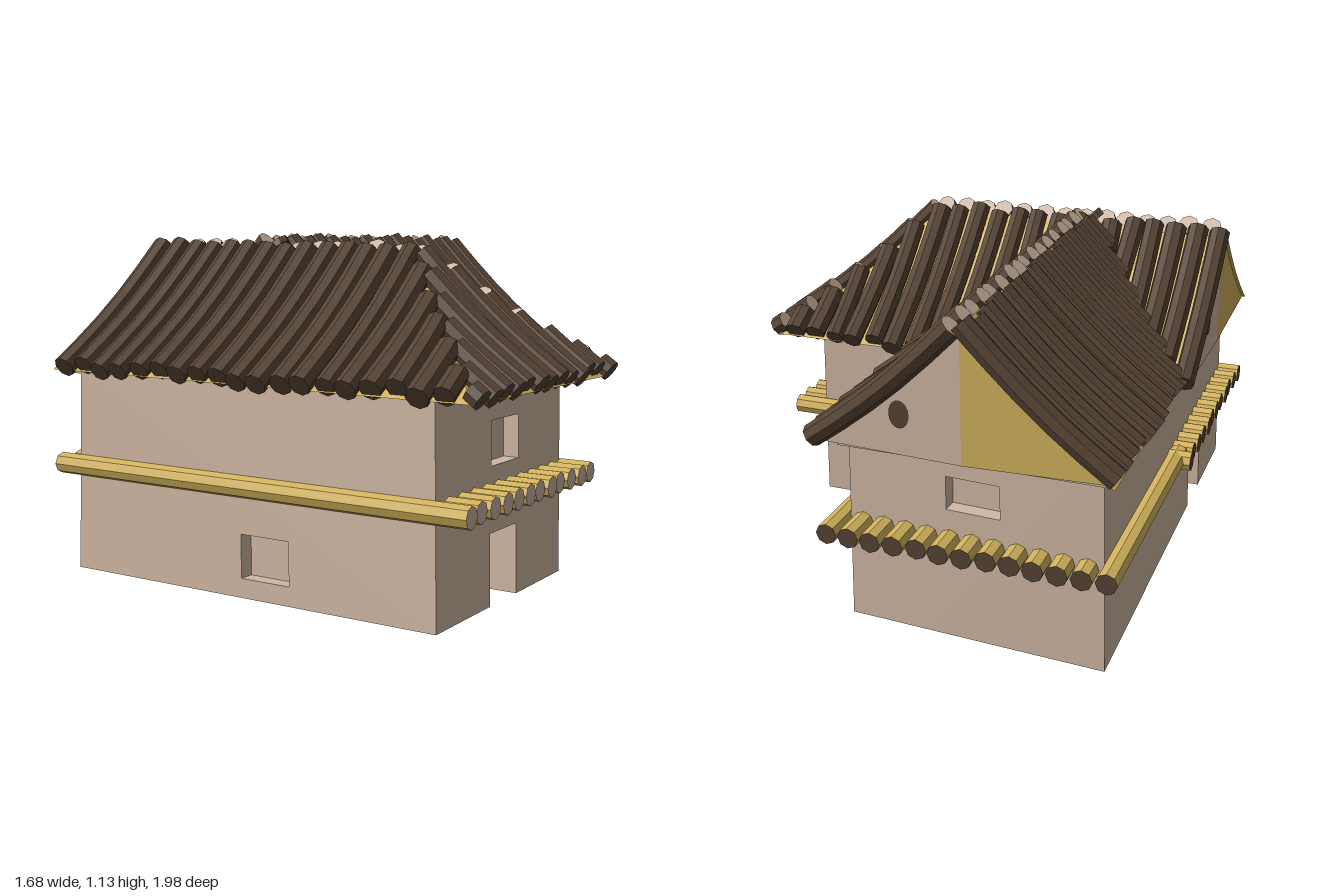
import * as THREE from 'three';

const mat = (name, color, side = THREE.FrontSide) => {
  const m = new THREE.MeshStandardMaterial({ color, side });
  m.name = name;
  return m;
};

export function createModel() {
  const plaster = mat('plaster', 0xd0b7a3, THREE.DoubleSide);
  const darkWood = mat('dark roof wood', 0x564334);
  const straw = mat('yellow wood', 0xd2b25c, THREE.DoubleSide);
  const endGrain = mat('end grain', 0xccb4a1);

  const house = new THREE.Group();
  house.name = 'house';
  house.rotation.set(-0.034, -0.157, 0); // slight pitch over a yaw
  const section = (name) => {
    const g = new THREE.Group();
    g.name = name;
    house.add(g);
    return g;
  };
  const addMesh = (parent, name, geo, material) => {
    const m = new THREE.Mesh(geo, material);
    m.name = name;
    parent.add(m);
    return m;
  };
  let seed = 7;
  const jitter = (amount) => {
    seed = (seed * 16807) % 2147483647;
    return (seed / 2147483647 - 0.5) * 2 * amount;
  };

  // ---- walls: single sheets with recessed openings, sides leaning inward ----
  const BASE = 0.03, TOP = 0.69;
  const batter = (geo) => {
    const p = geo.attributes.position;
    for (let i = 0; i < p.count; i++) {
      const lean = Math.max(-1, Math.min(1, (p.getX(i) + 0.2) / 0.425));
      p.setX(i, p.getX(i) - 0.025 * (p.getY(i) - BASE) * lean);
    }
    geo.computeVertexNormals();
    return geo;
  };
  const walls = section('walls');
  // openings are [start, width, bottom, top]; one that reaches the base is a door
  const wall = (name, x1, z1, x2, z2, openings) => {
    const len = Math.hypot(x2 - x1, z2 - z1), angle = Math.atan2(z1 - z2, x2 - x1);
    const place = (geo) => batter(geo.rotateY(angle).translate(x1, 0, z1));
    const s = new THREE.Shape();
    s.moveTo(0, BASE);
    for (const [u, w, b, t] of openings) {
      if (b <= BASE) {
        s.lineTo(u, BASE); s.lineTo(u, t); s.lineTo(u + w, t); s.lineTo(u + w, BASE);
      } else {
        const h = new THREE.Path();
        h.moveTo(u, b); h.lineTo(u, t); h.lineTo(u + w, t); h.lineTo(u + w, b); h.closePath();
        s.holes.push(h);
      }
    }
    s.lineTo(len, BASE); s.lineTo(len, TOP); s.lineTo(0, TOP); s.closePath();
    addMesh(walls, name, place(new THREE.ShapeGeometry(s)), plaster);
    for (const [u, w, b, t] of openings) {
      // box without its front face, and without a sill for doors
      const door = b <= BASE, depth = door ? 0.09 : 0.05;
      const box = new THREE.BoxGeometry(w, t - b, depth);
      const faces = Array.from(box.index.array);
      box.setIndex([...faces.slice(0, door ? 18 : 24), ...faces.slice(30)]);
      box.clearGroups();
      box.translate(u + w / 2, (b + t) / 2, -depth / 2);
      addMesh(walls, door ? 'doorRecess' : 'windowRecess', place(box), plaster);
    }
  };
  const L = -0.625, R = 0.702, M = 0.222, F = 0.835, BR = -0.76, BL = -0.803;
  wall('frontWall', L, F, R, F, [[0.66, 0.175, 0.09, 0.225]]);
  wall('rightWall', R, F, R, 0, [[0.33, 0.18, BASE, 0.25], [0.34, 0.185, 0.45, 0.585]]);
  wall('wingBackWall', R, 0, M, 0, []);
  wall('rearRightWall', M, 0, M, BR, [[0.32, 0.19, 0.11, 0.255]]);
  wall('backWall', M, BR, L, BL, [[0.335, 0.18, 0.47, 0.58]]);
  wall('leftWall', L, BL, L, F, [[1.115, 0.18, BASE, 0.25]]);

  // ---- floor joists poking through the walls ----
  const joists = section('joists');
  const joist = (alongX, from, to, at) => {
    const g = new THREE.CylinderGeometry(0.034, 0.034, to - from, 8).toNonIndexed();
    if (alongX) g.rotateZ(-Math.PI / 2).translate((from + to) / 2, 0.37, at);
    else g.rotateX(Math.PI / 2).translate(at, 0.37, (from + to) / 2);
    g.computeVertexNormals();
    addMesh(joists, 'joist', g, [straw, endGrain, darkWood]);
  };
  for (let i = 0; i < 12; i++) joist(true, -0.69 + jitter(0.006), 0.8 + jitter(0.006), 0.835 - i * 0.0765);
  for (let i = 0; i < 13; i++) {
    const outer = i === 0 || i === 12;
    joist(false, -0.875 + jitter(0.008), outer ? 0.04 : 0.75, -0.64 + i * 0.0735);
  }

  // ---- roof: slopes fall a distance d away from two crossing ridges ----
  const RX = -0.2, RZ = 0.385, HIP = 0.37, D = 0.485, LEFT = -0.695, BACK = -0.885;
  const FRONT_TOP = 1.085, REAR_TOP = 1.11, HIP_RUN = 0.93, REAR_RUN = 0.95;
  const height = (d, top) => {
    const s = d / D;
    return top - (top - 0.7) * s - 0.022 * Math.sin(Math.PI * Math.max(0, s));
  };
  // out: downhill direction, run: horizontal stretch, edge: first log from the gable
  const slopes = [
    { name: 'frontSlope', out: [0, 1], ridge: RZ, run: 1, top: FRONT_TOP, edge: 0.06,
      lo: () => LEFT, hi: (d) => HIP + HIP_RUN * d },
    { name: 'hipSlope', out: [1, 0], ridge: HIP, run: HIP_RUN, top: FRONT_TOP, edge: 0.03,
      lo: (d) => RZ - d, hi: (d) => RZ + d },
    { name: 'wingBackSlope', out: [0, -1], ridge: RZ, run: 1, top: FRONT_TOP, edge: 0.03,
      lo: (d) => RX + REAR_RUN * d, hi: (d) => HIP + HIP_RUN * d },
    { name: 'innerLeftSlope', out: [0, -1], ridge: RZ, run: 1, top: FRONT_TOP, edge: 0.022,
      lo: () => LEFT, hi: (d) => RX - REAR_RUN * d },
    { name: 'rearRightSlope', out: [1, 0], ridge: RX, run: REAR_RUN, top: REAR_TOP, edge: 0.02,
      lo: () => BACK, hi: (d) => RZ - d },
    { name: 'rearLeftSlope', out: [-1, 0], ridge: RX, run: REAR_RUN, top: REAR_TOP, edge: 0.03,
      lo: () => BACK, hi: (d) => RZ - d },
  ];
  const up = new THREE.Vector3(0, 1, 0), SPACING = 0.076;
  slopes.forEach(({ name, out, ridge, run, top, edge, lo, hi }) => {
    const g = section(name);
    const [ox, oz] = out;
    const point = (a, d, lift) => (ox
      ? new THREE.Vector3(ridge + ox * d * run, height(d, top) + lift, a)
      : new THREE.Vector3(a, height(d, top) + lift, ridge + oz * d * run));

    // yellow sheet beneath the logs
    const rows = 8, pos = [], idx = [];
    for (let i = 0; i <= rows; i++) {
      const d = (i / rows) * D, k = i * 2;
      pos.push(...point(lo(d), d, -0.022).toArray(), ...point(hi(d), d, -0.022).toArray());
      if (i < rows) idx.push(k, k + 1, k + 2, k + 1, k + 3, k + 2);
    }
    const sheet = new THREE.BufferGeometry();
    sheet.setAttribute('position', new THREE.Float32BufferAttribute(pos, 3));
    sheet.setIndex(idx);
    sheet.computeVertexNormals();
    addMesh(g, 'roofSheet', sheet, straw);

    // sagging logs, cut off where the slope meets a hip or valley; pale ends uphill
    const outward = new THREE.Vector3(ox, 0, oz);
    const across = outward.clone().cross(up);
    for (let a = Math.min(lo(0), lo(D)) + edge; a < Math.max(hi(0), hi(D)); a += SPACING) {
      const ds = [];
      for (let i = 0; i <= 60; i++) {
        const d = (i / 60) * D;
        if (a >= lo(d) - 0.005 && a <= hi(d) + 0.005) ds.push(d);
      }
      if (ds.length < 4) continue;
      const d0 = ds[0] + 0.012 + jitter(0.008), d1 = ds[ds.length - 1] + 0.008 + jitter(0.01);
      const lift = jitter(0.005), r = 0.035 + jitter(0.002), skew = jitter(0.008);
      const log = new THREE.CylinderGeometry(r, r, 1, 8, 5).toNonIndexed();
      const p = log.attributes.position, v = new THREE.Vector3();
      for (let i = 0; i < p.count; i++) {
        v.fromBufferAttribute(p, i);
        const s = v.y + 0.5, d = d0 + (d1 - d0) * s;
        const slope = (height(d + 0.005, top) - height(d - 0.005, top)) / (0.01 * run);
        const normal = up.clone().addScaledVector(outward, -slope).normalize();
        const q = point(a + skew * (s - 0.5), d, lift)
          .addScaledVector(across, v.x).addScaledVector(normal, v.z);
        p.setXYZ(i, q.x, q.y, q.z);
      }
      log.computeVertexNormals();
      addMesh(g, 'roofLog', log, [darkWood, darkWood, endGrain]);
    }
  });

  // ---- gables: one plastered half with a round vent, one boarded half ----
  const gable = (name, x, z, angle, top, run) => {
    const g = section(name);
    g.position.set(x, 0, z);
    g.rotation.y = angle;
    for (const side of [-1, 1]) {
      const s = new THREE.Shape();
      s.moveTo(0, 0.665);
      for (let i = 0; i <= 8; i++) {
        const d = (i / 8) * D;
        s.lineTo(side * d * run, Math.max(0.666, height(d, top) - 0.022));
      }
      s.closePath();
      const geo = new THREE.ExtrudeGeometry(s, { depth: 0.008, bevelEnabled: false });
      addMesh(g, side < 0 ? 'plasterGable' : 'boardedGable', geo, side < 0 ? plaster : straw);
    }
    const vent = new THREE.CircleGeometry(0.04, 16).scale(0.8, 1.1, 1).translate(-0.19, 0.8, 0.011);
    addMesh(g, 'gableVent', vent, darkWood);
  };
  gable('backGable', RX, BACK + 0.035, Math.PI, REAR_TOP, REAR_RUN);
  gable('leftGable', LEFT + 0.02, RZ, -Math.PI / 2, FRONT_TOP, 1);

  // attic floor over both wings
  const attic = section('atticFloor');
  const slab = (name, x1, x2, z1, z2) => addMesh(attic, name,
    new THREE.BoxGeometry(x2 - x1, 0.012, z2 - z1)
      .translate((x1 + x2) / 2, 0.672, (z1 + z2) / 2), plaster);
  slab('frontAttic', LEFT + 0.025, 0.68, 0.005, 0.83);
  slab('rearAttic', LEFT + 0.06, 0.2, BACK + 0.035, 0.005);

  const model = new THREE.Group();
  model.name = 'lShapedHouse';
  model.add(house);
  return model;
}
